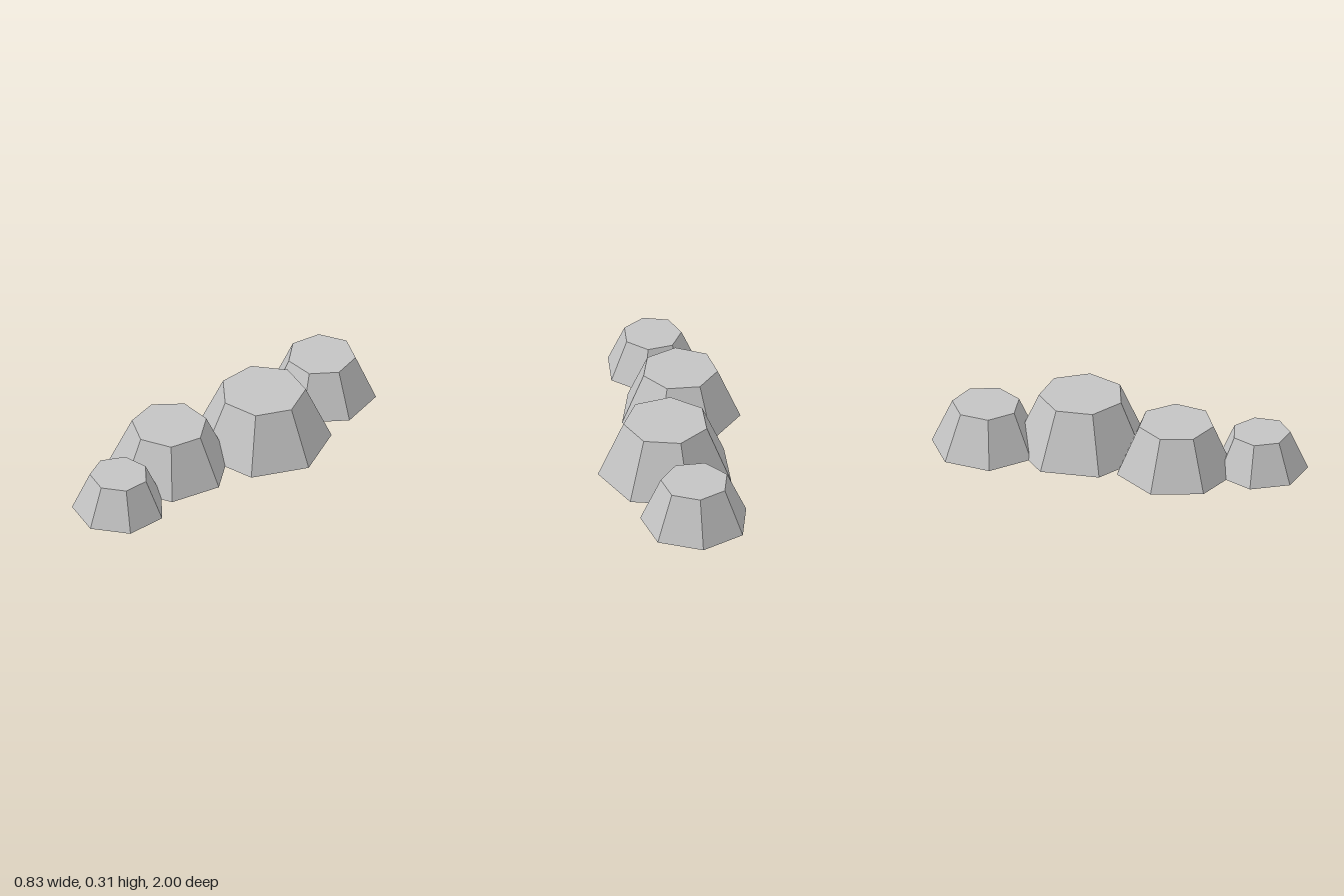
import * as THREE from 'three';

const SIDES = 7;
const TAPER = 0.625; // top radius relative to base radius

// name, centre x, centre z, base radius, height, direction of one corner in degrees (from +x towards +z)
const ROCKS = [
  ['backRock', -0.026, -0.71, 0.289, 0.245, -90],
  ['largeRock', 0.051, -0.213, 0.3615, 0.305, 1.6],
  ['middleRock', -0.103, 0.316, 0.321, 0.27, -10.5],
  ['frontRock', -0.024, 0.754, 0.248, 0.212, -21.8],
];

export function createModel() {
  const model = new THREE.Group();
  model.name = 'rockRow';
  const stone = new THREE.MeshStandardMaterial({ color: 0xc4c4c4, flatShading: true });
  stone.name = 'light grey stone';

  // each rock is a closed, tapered seven-sided block standing on the ground
  for (const [name, x, z, radius, height, corner] of ROCKS) {
    const start = Math.PI / 2 - THREE.MathUtils.degToRad(corner);
    const geometry = new THREE.CylinderGeometry(radius * TAPER, radius, height, SIDES, 1, false, start);
    const rock = new THREE.Mesh(geometry, stone);
    rock.name = name;
    rock.position.set(x, height / 2, z);
    model.add(rock);
  }
  return model;
}
